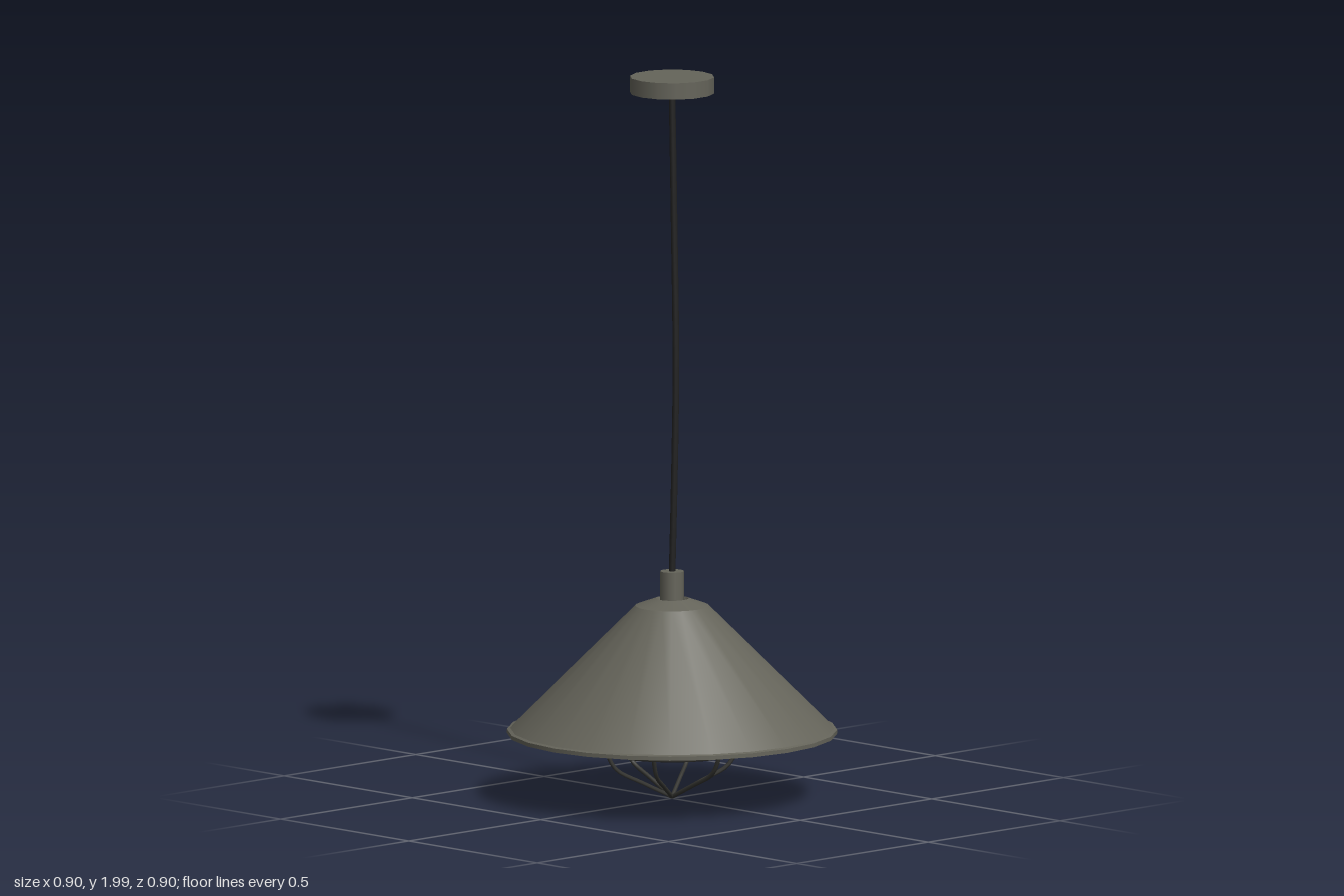
import * as THREE from 'three';

const material = (name, color, side = THREE.FrontSide) => {
  const m = new THREE.MeshStandardMaterial({ color, side });
  m.name = name;
  return m;
};

export function createModel() {
  const group = new THREE.Group();
  group.name = 'pendantLamp';

  const metal = material('olive grey metal', 0x65645a, THREE.DoubleSide);
  const black = material('black cord', 0x222222);
  const wire = material('dark wire', 0x33332f);
  const glass = material('pale glass', 0xd0d4e2);

  const add = (name, geometry, mat, y = 0, parent = group) => {
    const mesh = new THREE.Mesh(geometry, mat);
    mesh.name = name;
    mesh.position.y = y;
    parent.add(mesh);
    return mesh;
  };
  const cylinder = (name, r, y0, y1, sides, mat) =>
    add(name, new THREE.CylinderGeometry(r, r, y1 - y0, sides), mat, (y0 + y1) / 2);

  // Ceiling canopy
  cylinder('canopy', 0.115, 1.955, 2, 14, metal);

  // Cord with a slight sag to one side
  const cord = new THREE.CatmullRomCurve3([
    [0, 1.96], [0.008, 1.6], [0.015, 1.2], [0.008, 0.86], [0, 0.62],
  ].map(([x, y]) => new THREE.Vector3(x, y, 0)));
  add('cord', new THREE.TubeGeometry(cord, 20, 0.009, 8), black);

  // Shade: one lathe per profile step keeps the creases sharp
  const shade = new THREE.Group();
  shade.name = 'shade';
  group.add(shade);
  const profile = [
    [0.04, 0.55], [0.098, 0.53], [0.432, 0.19], [0.45, 0.187],
    [0.45, 0.198], [0.441, 0.201], [0.1, 0.54], [0.045, 0.56], [0.04, 0.55],
  ].map(([r, y]) => new THREE.Vector2(r, y));
  for (let i = 0; i < profile.length - 1; i++) {
    add('shadeBand', new THREE.LatheGeometry([profile[i], profile[i + 1]], 24), metal, 0, shade);
  }

  // Neck fitting, socket and bulb
  cylinder('neck', 0.033, 0.5, 0.635, 12, metal);
  cylinder('socket', 0.057, 0.34, 0.51, 16, black);
  add('bulb', new THREE.SphereGeometry(0.078, 20, 14), glass, 0.23);
  add('bulbNeck', new THREE.CylinderGeometry(0.042, 0.055, 0.07, 16), glass, 0.315);

  // Wire guard: six bent ribs and a hoop
  const guard = new THREE.Group();
  guard.name = 'guard';
  group.add(guard);
  const rib = new THREE.CatmullRomCurve3([
    [0.192, 0.27], [0.19, 0.19], [0.178, 0.13], [0.155, 0.092], [0.08, 0.052], [0, 0.012],
  ].map(([x, y]) => new THREE.Vector3(x, y, 0)));
  const ribGeometry = new THREE.TubeGeometry(rib, 20, 0.006, 6);
  for (let i = 0; i < 6; i++) {
    add('guardRib', ribGeometry, wire, 0, guard).rotation.y = (i * Math.PI) / 3;
  }
  const hoop = new THREE.TorusGeometry(0.19, 0.006, 6, 24).rotateX(Math.PI / 2);
  add('guardHoop', hoop, wire, 0.144, guard);

  return group;
}
